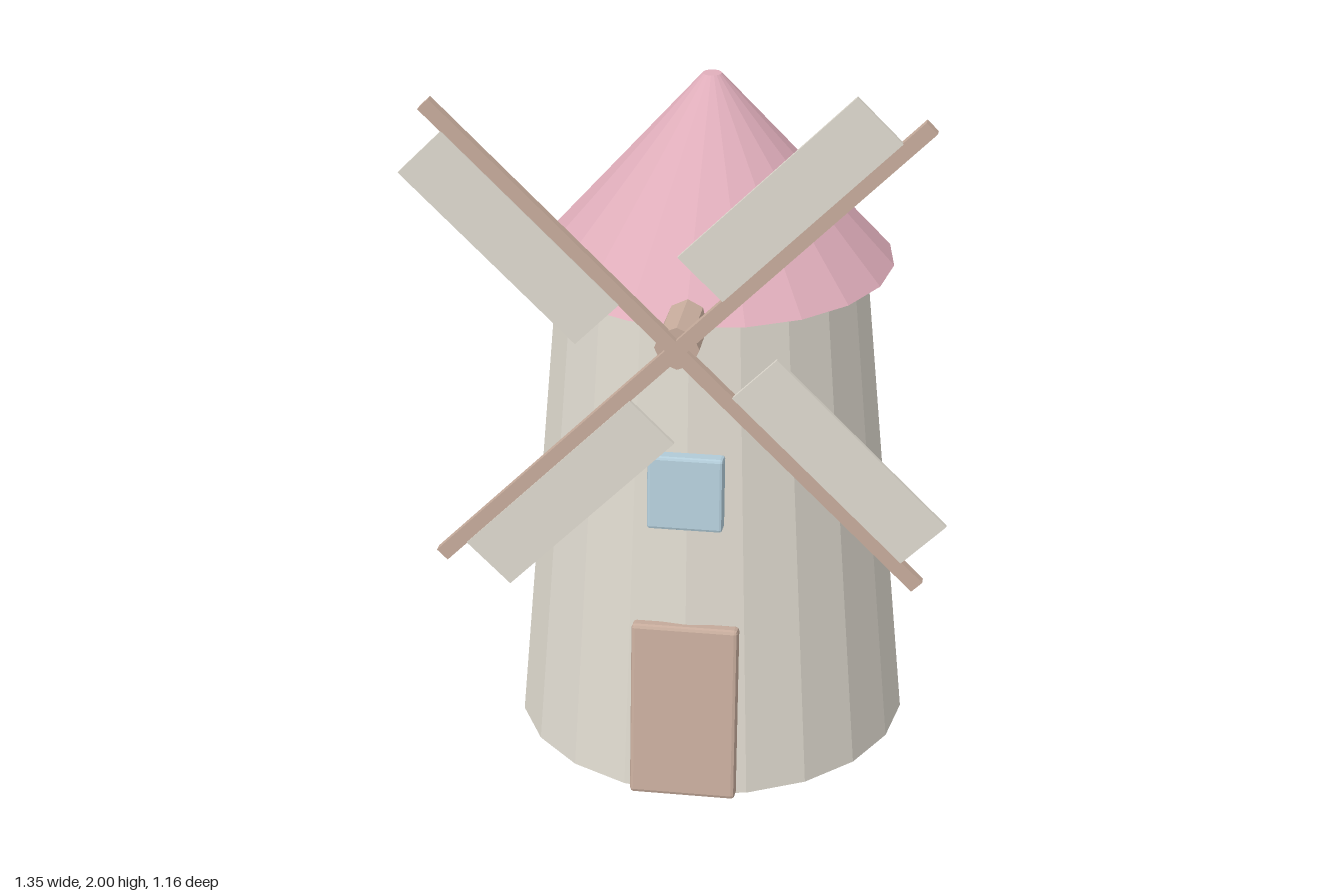
import * as THREE from 'three';
import { RoundedBoxGeometry } from 'three/addons/geometries/RoundedBoxGeometry.js';

const paint = (name, color) => {
  const m = new THREE.MeshStandardMaterial({ color, flatShading: true });
  m.name = name;
  return m;
};

export function createModel() {
  const stone = paint('cream', 0xe0dbd0);
  const pink = paint('pink', 0xe0aebb);
  const wood = paint('wood', 0xc8ad9d);
  const glass = paint('pale blue', 0xb4cedb);

  const model = new THREE.Group();
  model.name = 'windmill';
  const add = (parent, name, geometry, material, x, y, z) => {
    const mesh = new THREE.Mesh(geometry, material);
    mesh.name = name;
    mesh.position.set(x, y, z);
    parent.add(mesh);
    return mesh;
  };

  // Tapered tower and overhanging conical roof
  const sides = 20, axisZ = -0.05, eaves = 1.328, roofHeight = 0.505;
  add(model, 'tower', new THREE.CylinderGeometry(0.41, 0.532, eaves, sides), stone, 0, eaves / 2, axisZ);
  add(model, 'roof', new THREE.CylinderGeometry(0.025, 0.48, roofHeight, sides), pink,
    0, eaves + roofHeight / 2, axisZ);

  // Door and window lean back with the wall
  add(model, 'door', new RoundedBoxGeometry(0.28, 0.48, 0.045, 1, 0.01), wood, 0, 0.25, 0.468).rotation.x = -0.12;
  add(model, 'window', new RoundedBoxGeometry(0.195, 0.198, 0.05, 1, 0.008), glass, 0, 0.868, 0.422).rotation.x = -0.1;

  // Axle running out of the tower to the sails
  const axle = add(model, 'axle', new THREE.CylinderGeometry(0.056, 0.056, 0.22, 8), wood, 0, eaves, 0.45);
  axle.rotation.x = Math.PI / 2;

  // Rotor: two crossed spars, and a sail panel beside each arm
  const rotor = new THREE.Group();
  rotor.name = 'rotor';
  rotor.position.set(0, eaves, 0);
  model.add(rotor);
  for (let i = 0; i < 4; i++) {
    const arm = new THREE.Group();
    arm.name = 'arm';
    arm.rotation.z = Math.PI / 4 + i * Math.PI / 2;
    rotor.add(arm);
    add(arm, 'spar', new THREE.BoxGeometry(0.856, 0.038, 0.024), wood, 0.428, 0, 0.565);
    add(arm, 'sail', new THREE.BoxGeometry(0.6, 0.155, 0.011), stone, 0.48, 0.0945, 0.5745);
  }
  return model;
}
